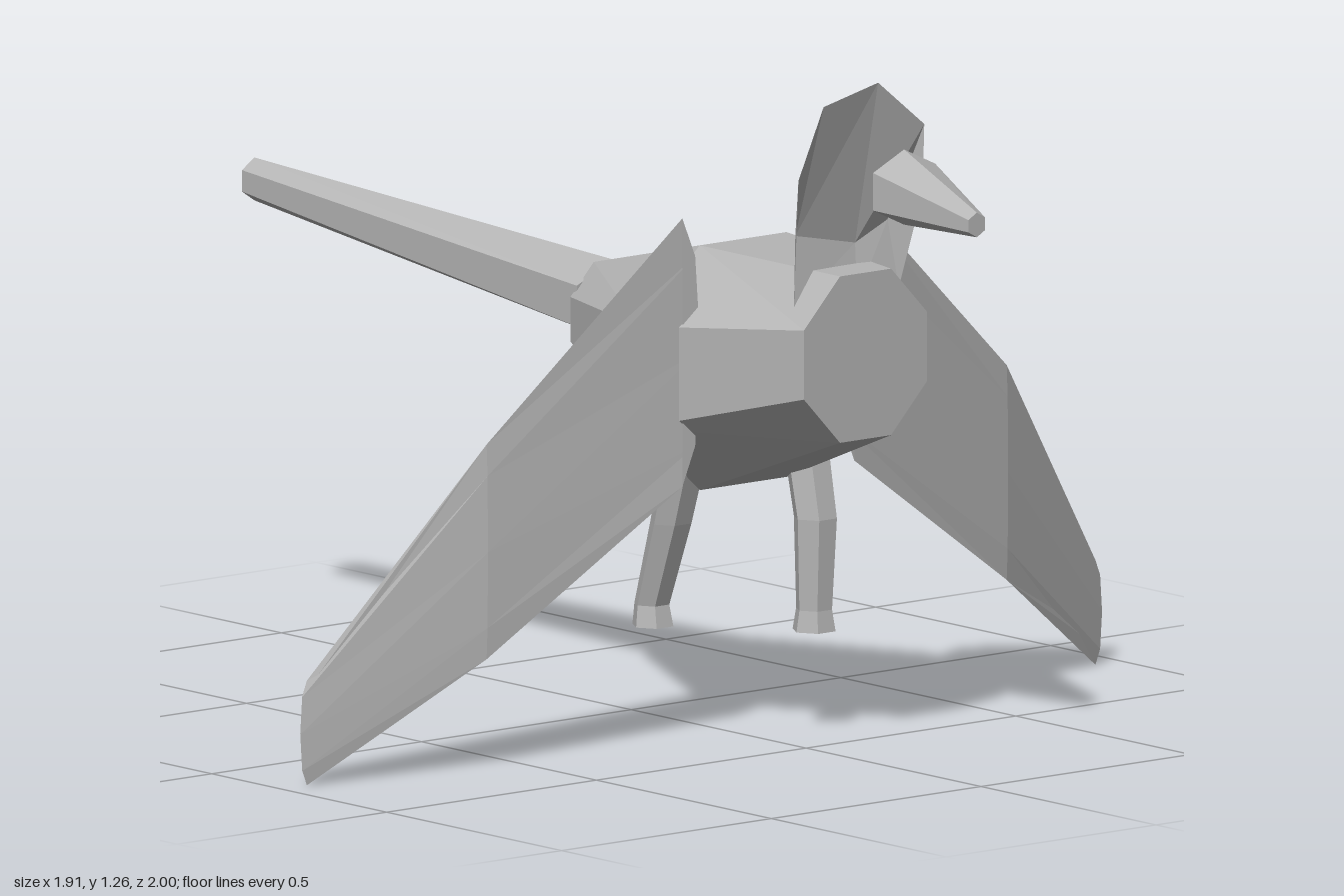
import * as THREE from 'three';

const grey = new THREE.MeshStandardMaterial({ color: 0xb4b4b4, flatShading: true, side: THREE.DoubleSide });
grey.name = 'plain grey';
const V = (x, y, z) => new THREE.Vector3(x, y, z);

function meshFrom(name, points, faces) {
  const geo = new THREE.BufferGeometry().setFromPoints(points);
  geo.setIndex(faces.flat());
  const flat = geo.toNonIndexed();
  flat.computeVertexNormals();
  const mesh = new THREE.Mesh(flat, grey);
  mesh.name = name;
  return mesh;
}

// Skin a list of equal-sized rings and cap both ends
function loft(name, rings) {
  const n = rings[0].length;
  const faces = [];
  for (let r = 0; r < rings.length - 1; r++) {
    for (let i = 0; i < n; i++) {
      const a = r * n + i, b = r * n + (i + 1) % n;
      faces.push([a, b, b + n], [a, b + n, a + n]);
    }
  }
  const last = (rings.length - 1) * n;
  for (let i = 1; i < n - 1; i++) {
    faces.push([0, i + 1, i], [last, last + i, last + i + 1]);
  }
  return meshFrom(name, rings.flat(), faces);
}

// Regular ring around a centre, spanned by u and v
function ring(n, centre, u, v, turn = 0) {
  return Array.from({ length: n }, (_, i) => {
    const a = turn + (i / n) * Math.PI * 2;
    return centre.clone().addScaledVector(u, Math.cos(a)).addScaledVector(v, Math.sin(a));
  });
}

// Upright ring facing z; width is its half extent in x
function zRing(n, x, y, z, width, height) {
  return ring(n, V(x, y, z), V(width / Math.cos(Math.PI / n), 0, 0), V(0, height, 0), Math.PI / n);
}

// Six-sided leg through [x, y, z, radius] stations
function leg(name, stations) {
  return loft(name, stations.map(([x, y, z, r]) => ring(6, V(x, y, z), V(0, 0, r), V(r, 0, 0), Math.PI / 6)));
}

// Thin swept wing: each station is [x, top, bottom, z, middle bulge in x]
function wing(name, side, rootX) {
  const stations = [
    [rootX, 1.0, 0.5, 0.41, -0.04],
    [0.62, 0.615, 0.215, 0.33, 0],
    [0.94, 0.195, 0, 0.2, 0.015],
  ];
  return loft(name, stations.map(([x, top, bottom, z, bulge], k) => {
    const pts = ring(8, V(side * x, (top + bottom) / 2, z), V(0, (top - bottom) / 2, 0), V(0, 0, side * (k === 2 ? 0.001 : 0.004)));
    pts.forEach((p, i) => { p.x += side * bulge * Math.abs(Math.sin((i / 8) * Math.PI * 2)); });
    return pts;
  }));
}

export function createModel() {
  const group = new THREE.Group();
  group.name = 'bird';

  // Eight-sided body, widest in the middle
  const oct = 1 / Math.cos(Math.PI / 8);
  group.add(loft('body', [
    zRing(8, 0, 0.73, -0.06, 0.095, 0.1 * oct),
    zRing(8, 0, 0.695, 0.32, 0.25, 0.228 * oct),
    zRing(8, 0, 0.755, 0.67, 0.147, 0.155 * oct),
  ]));

  // Long tail drifting to one side
  group.add(loft('tail', [
    zRing(6, -0.064, 0.853, -1, 0.03, 0.04),
    zRing(6, 0, 0.755, -0.05, 0.088, 0.076),
  ]));

  // Beak floating ahead of the head
  group.add(loft('beak', [
    zRing(6, 0, 1.085, 0.78, 0.074, 0.07),
    zRing(6, -0.01, 1.047, 1, 0.02, 0.023),
  ]));

  // Open shell forming the back of the head and the neck
  group.add(meshFrom('head', [
    V(-0.16, 1.1, 0.67), V(-0.1, 1.23, 0.67), V(0.03, 1.26, 0.67), V(0.14, 1.17, 0.67), V(0.14, 1.04, 0.665),
    V(-0.105, 0.98, 0.595), V(0.04, 0.95, 0.592), V(0.115, 0.985, 0.595),
    V(-0.125, 0.85, 0.615), V(0.03, 0.85, 0.61), V(0.125, 0.86, 0.615),
  ], [
    [0, 1, 5], [1, 2, 5], [5, 2, 6], [2, 3, 6], [6, 3, 7], [3, 4, 7],
    [0, 5, 8], [5, 6, 8], [8, 6, 9], [6, 7, 9], [9, 7, 10], [7, 4, 10],
  ]));

  group.add(wing('leftWing', 1, 0.19), wing('rightWing', -1, 0.22));

  // Legs in mid-stride
  group.add(leg('leftLeg', [
    [0.115, 0.19, 0.385, 0.042], [0.115, 0.23, 0.385, 0.035], [0.118, 0.4, 0.385, 0.042], [0.12, 0.58, 0.345, 0.045],
  ]));
  group.add(leg('rightLeg', [
    [-0.115, 0.2, 0.2, 0.04], [-0.115, 0.24, 0.197, 0.034], [-0.118, 0.4, 0.255, 0.04], [-0.12, 0.58, 0.31, 0.045],
  ]));

  return group;
}
